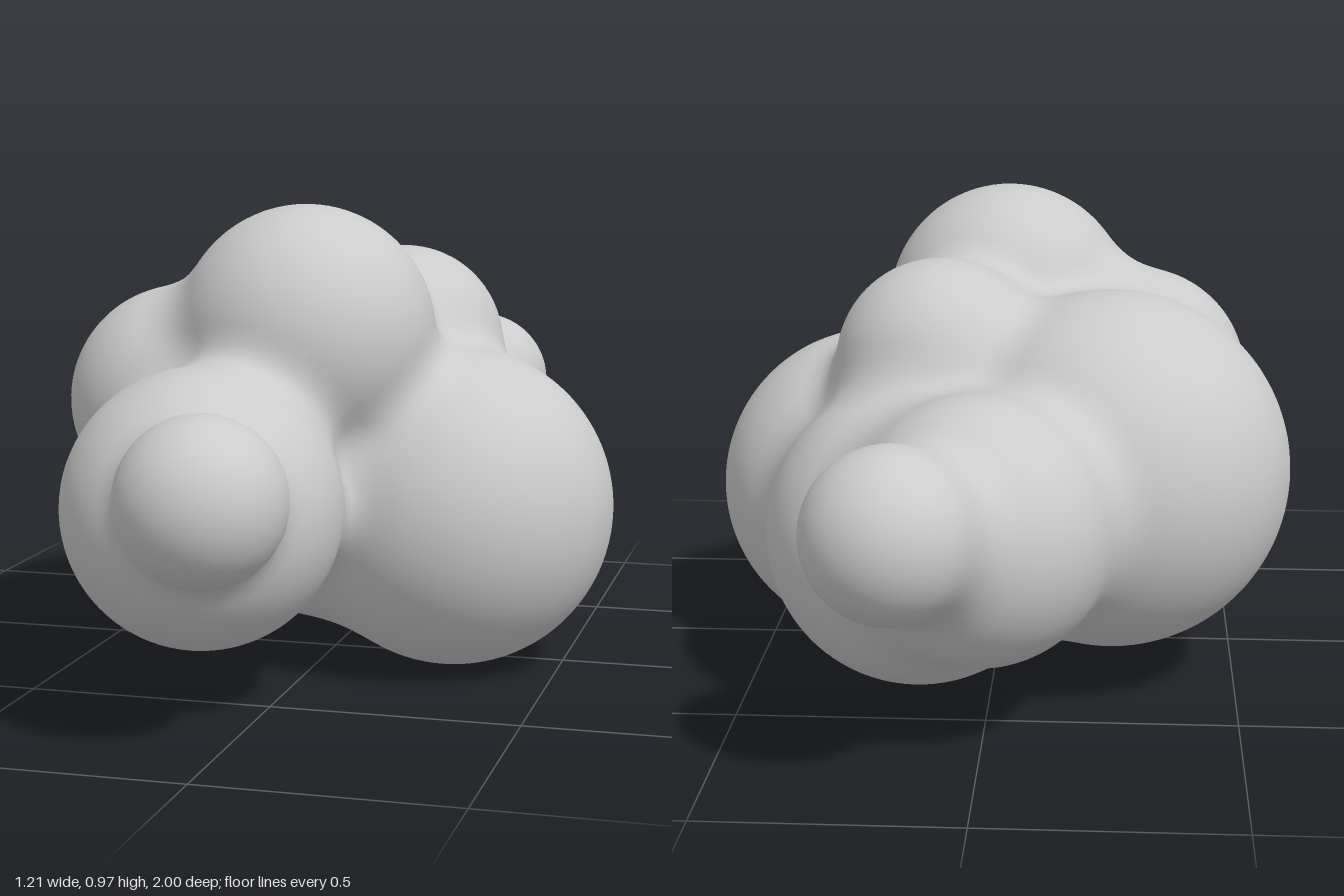
import * as THREE from 'three';

// Puffs of the cloud: x, y, z, radius
const PUFFS = [
  [-0.025, 0.475, 0.84, 0.16],  // front tip
  [-0.13, 0.4, 0.52, 0.277],    // front
  [-0.01, 0.71, 0.195, 0.265],  // top
  [-0.29, 0.56, 0.15, 0.24],    // right shoulder
  [-0.24, 0.447, -0.2, 0.367],  // large right
  [0.27, 0.34, 0.05, 0.335],    // large left
  [0.145, 0.34, -0.32, 0.31],   // back left
  [0.115, 0.655, -0.155, 0.215],// small top
  [0.01, 0.42, -0.57, 0.262],   // back
  [0.15, 0.49, -0.835, 0.165],  // back tip
  [-0.03, 0.39, 0.04, 0.3],     // core
];
const BLEND = 0.085;
const STEP = 0.02;
const MIN = [-0.68, -0.06, -1.06];
const SIZE = [68, 56, 106];

// Distance to the puffs, joined with a soft minimum
function field(x, y, z) {
  let d = 10;
  for (const [cx, cy, cz, r] of PUFFS) {
    const s = Math.hypot(x - cx, y - cy, z - cz) - r;
    const h = Math.max(BLEND - Math.abs(d - s), 0) / BLEND;
    d = Math.min(d, s) - h * h * BLEND / 4;
  }
  return d;
}

function gradient(p) {
  const e = 0.002;
  return new THREE.Vector3(
    field(p.x + e, p.y, p.z) - field(p.x - e, p.y, p.z),
    field(p.x, p.y + e, p.z) - field(p.x, p.y - e, p.z),
    field(p.x, p.y, p.z + e) - field(p.x, p.y, p.z - e),
  ).normalize();
}

// Skin over the field: one vertex per crossed cell, one quad per crossed edge
function skinGeometry() {
  const stride = [1, SIZE[0], SIZE[0] * SIZE[1]];
  const at = (i, a) => MIN[a] + i * STEP;
  const values = new Float32Array(SIZE[0] * SIZE[1] * SIZE[2]);
  const forEachNode = (visit) => {
    let n = 0;
    for (let k = 0; k < SIZE[2]; k++)
      for (let j = 0; j < SIZE[1]; j++)
        for (let i = 0; i < SIZE[0]; i++) visit([i, j, k], n++);
  };
  forEachNode(([i, j, k], n) => { values[n] = field(at(i, 0), at(j, 1), at(k, 2)); });

  // Sum the edge crossings around each cell
  const cells = new Map();
  const quads = [];
  forEachNode((node, n) => {
    for (let a = 0; a < 3; a++) {
      if (node[a] === SIZE[a] - 1) continue;
      const f0 = values[n], f1 = values[n + stride[a]];
      if ((f0 < 0) === (f1 < 0)) continue;
      const sb = stride[(a + 1) % 3], sc = stride[(a + 2) % 3];
      const ring = [n - sb - sc, n - sc, n, n - sb];
      const hit = new THREE.Vector3(...node.map(at));
      hit.setComponent(a, hit.getComponent(a) + STEP * f0 / (f0 - f1));
      for (const id of ring) {
        if (!cells.has(id)) cells.set(id, { sum: new THREE.Vector3(), count: 0, index: cells.size });
        const cell = cells.get(id);
        cell.sum.add(hit);
        cell.count++;
      }
      quads.push(f0 < 0 ? ring : ring.reverse());
    }
  });

  // Settle each vertex on the surface
  const positions = [], normals = [], indices = [];
  for (const { sum, count } of cells.values()) {
    const p = sum.divideScalar(count);
    for (let s = 0; s < 3; s++) p.addScaledVector(gradient(p), -field(p.x, p.y, p.z));
    positions.push(p.x, p.y, p.z);
    normals.push(...gradient(p).toArray());
  }
  for (const quad of quads) {
    const [a, b, c, d] = quad.map((id) => cells.get(id).index);
    indices.push(a, b, c, a, c, d);
  }

  const geometry = new THREE.BufferGeometry();
  geometry.setAttribute('position', new THREE.Float32BufferAttribute(positions, 3));
  geometry.setAttribute('normal', new THREE.Float32BufferAttribute(normals, 3));
  geometry.setIndex(indices);
  return geometry;
}

export function createModel() {
  const group = new THREE.Group();
  group.name = 'cloud';
  const skin = new THREE.Mesh(skinGeometry(), new THREE.MeshStandardMaterial({ color: 0xcccccc }));
  skin.name = 'cloudPuffs';
  group.add(skin);
  return group;
}
